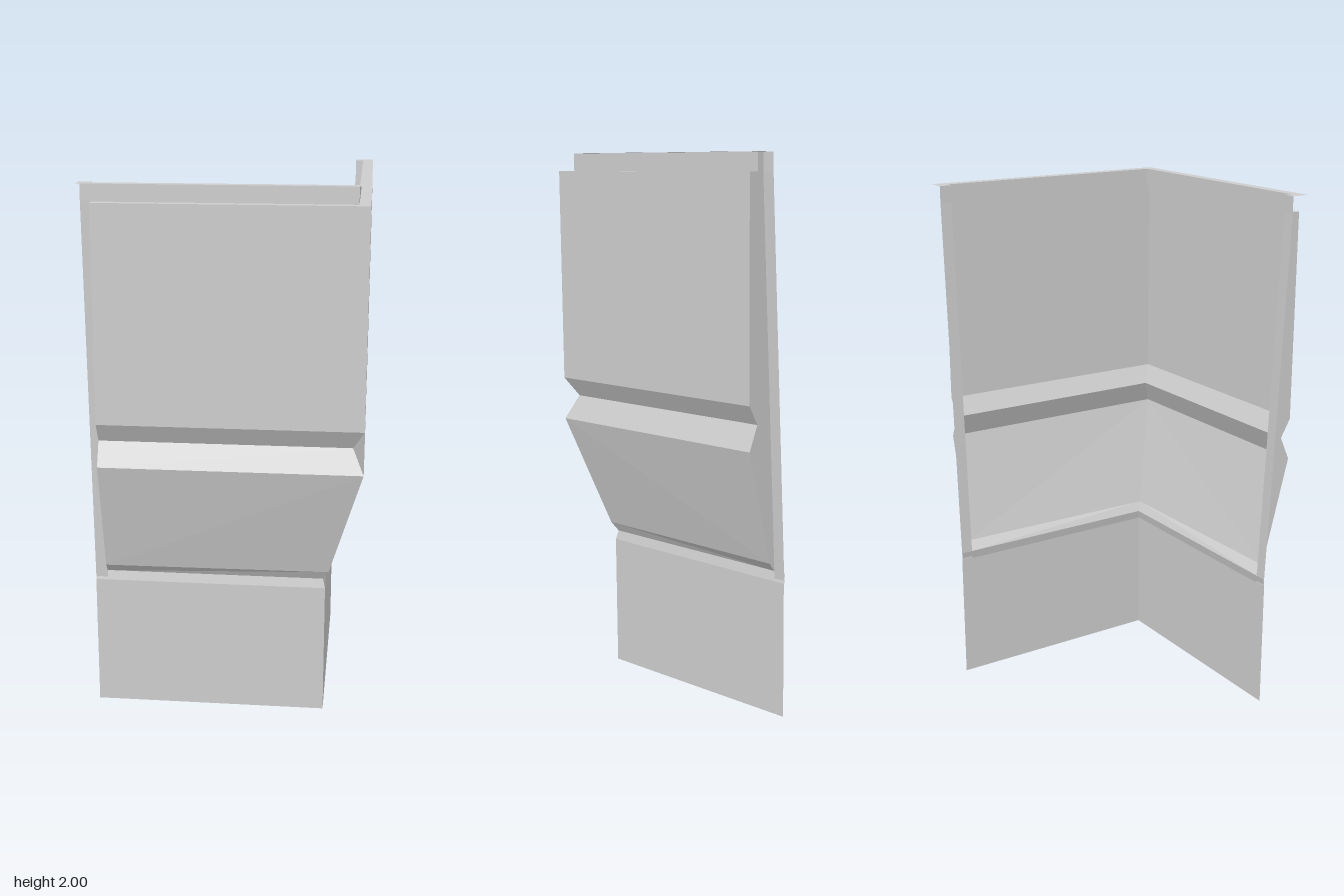
import * as THREE from 'three';

const END = -0.5;      // outer end of each arm
const PANEL = -0.455;  // end of the moulded panel, where the end post begins

// Cross-sections as [distance from centre, height, optional distance at the far end]
const lowerWall = [[0.368, 0], [0.368, 0.5], [0.36, 0.535]];
const moulding = [
  [0.36, 0.535], [0.38, 0.57, 0.392], [0.5, 0.99], [0.46, 1.08],
  [0.5, 1.15], [0.5, 1.935], [0.46, 1.935], [0.46, 2],
];
const topFlange = [[0.46, 2], [0.5, 2]];
const endPost = [[0.365, 0.5], [0.432, 1.935], [0.432, 2], [0.46, 2]];

const postDepth = (y) => 0.365 + Math.min((y - 0.5) / 1.435, 1) * 0.067;

// Flat-shaded sheet from quads whose corners are [along, height, depth]
function sheet(quads, mirrored, name, material) {
  const pos = [];
  for (const q of quads) {
    const order = mirrored ? [0, 2, 1, 0, 3, 2] : [0, 1, 2, 0, 2, 3];
    for (const i of order) {
      const [a, y, d] = q[i];
      if (mirrored) pos.push(d, y, a);
      else pos.push(a, y, d);
    }
  }
  const geo = new THREE.BufferGeometry();
  geo.setAttribute('position', new THREE.Float32BufferAttribute(pos, 3));
  geo.computeVertexNormals();
  const mesh = new THREE.Mesh(geo, material);
  mesh.name = name;
  return mesh;
}

// Sweep a profile from the arm's end to the mitred corner (or to a fixed stop)
function sweep(profile, start, stop) {
  const quads = [];
  for (let i = 0; i < profile.length - 1; i++) {
    const [d0, y0, e0 = d0] = profile[i];
    const [d1, y1, e1 = d1] = profile[i + 1];
    quads.push([
      [start, y0, e0], [stop ?? d0, y0, d0],
      [stop ?? d1, y1, d1], [start, y1, e1],
    ]);
  }
  return quads;
}

// Close the moulded panel's end between its profile and the post
function capQuads() {
  const quads = [];
  for (let i = 0; i < moulding.length - 1; i++) {
    const [d0, y0, e0 = d0] = moulding[i];
    const [d1, y1, e1 = d1] = moulding[i + 1];
    if (y0 === y1) continue;
    quads.push([
      [PANEL, y0, postDepth(y0)], [PANEL, y0, e0],
      [PANEL, y1, e1], [PANEL, y1, postDepth(y1)],
    ]);
  }
  return quads;
}

export function createModel() {
  const gray = new THREE.MeshStandardMaterial({ color: 0xcccccc });
  gray.name = 'light gray';
  gray.side = THREE.DoubleSide;
  gray.flatShading = true;

  const model = new THREE.Group();
  model.name = 'cornerWall';

  // Two arms mirrored across the diagonal
  for (const mirrored of [false, true]) {
    const arm = new THREE.Group();
    arm.name = mirrored ? 'sideArm' : 'frontArm';
    arm.add(
      sheet(sweep(lowerWall, END), mirrored, 'lowerWall', gray),
      sheet(sweep(moulding, PANEL), mirrored, 'mouldedPanel', gray),
      sheet(sweep(topFlange, END), mirrored, 'topFlange', gray),
      sheet(sweep(endPost, END, PANEL), mirrored, 'endPost', gray),
      sheet(capQuads(), mirrored, 'panelEndCap', gray),
    );
    model.add(arm);
  }
  return model;
}
